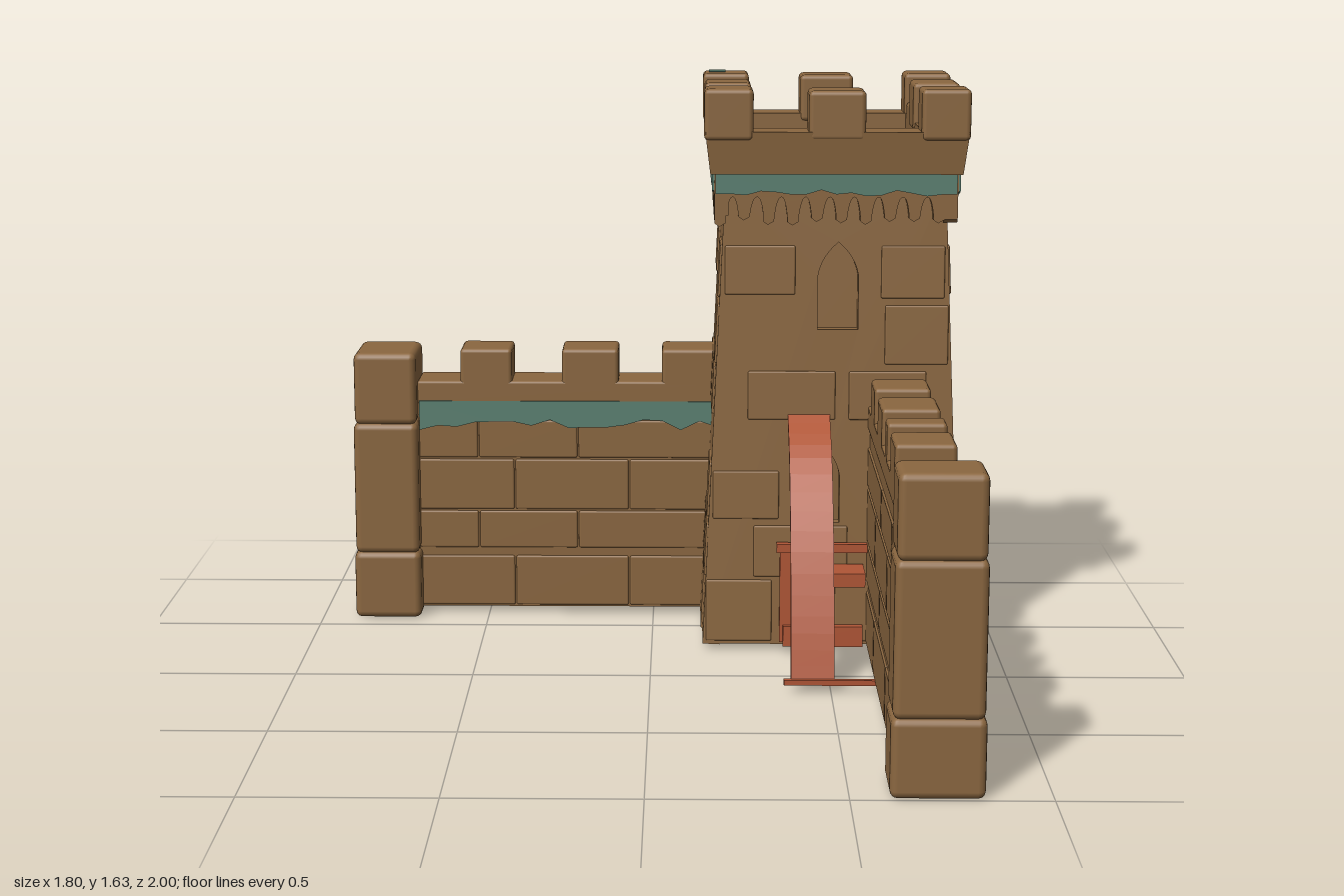
import * as THREE from 'three';
import { RoundedBoxGeometry } from 'three/addons/geometries/RoundedBoxGeometry.js';

const material = (name, color) => {
  const m = new THREE.MeshStandardMaterial({ color });
  m.name = name;
  return m;
};

export function createModel() {
  const stone = material('brown stone', 0x8b6740);
  const moss = material('teal moss', 0x5b8071);
  const cloth = material('red cloth', 0xb05636);

  let seed = 7;
  const rand = () => (seed = (seed * 16807) % 2147483647) / 2147483647;

  const root = new THREE.Group();
  root.name = 'castleCorner';

  const group = (name, parent, x = 0, y = 0, z = 0) => {
    const g = new THREE.Group();
    g.name = name;
    g.position.set(x, y, z);
    parent.add(g);
    return g;
  };
  const add = (parent, name, geo, mat, x = 0, y = 0, z = 0) => {
    const m = new THREE.Mesh(geo, mat);
    m.name = name;
    m.position.set(x, y, z);
    parent.add(m);
    return m;
  };
  // Box given by its limits on each axis, with optional rounded edges
  const block = (parent, name, [x0, x1], [y0, y1], [z0, z1], r = 0, mat = stone) => {
    const s = [x1 - x0, y1 - y0, z1 - z0];
    const geo = r ? new RoundedBoxGeometry(...s, 2, r) : new THREE.BoxGeometry(...s);
    return add(parent, name, geo, mat, (x0 + x1) / 2, (y0 + y1) / 2, (z0 + z1) / 2);
  };
  const extrude = (shape, depth) =>
    new THREE.ExtrudeGeometry(shape, { depth, bevelEnabled: false, curveSegments: 6 });

  // Pointed-arch outline
  const arch = (u, y0, w, h, Type = THREE.Path) => {
    const p = new Type(), s = y0 + h * 0.62;
    p.moveTo(u - w / 2, y0);
    p.lineTo(u + w / 2, y0);
    p.lineTo(u + w / 2, s);
    p.quadraticCurveTo(u + w * 0.42, s + h * 0.22, u, y0 + h);
    p.quadraticCurveTo(u - w * 0.42, s + h * 0.22, u - w / 2, s);
    p.closePath();
    return p;
  };
  // Thin strip of moss with an uneven lower edge
  const mossStrip = (w, h, drip) => {
    const s = new THREE.Shape(), n = 16;
    s.moveTo(-w / 2, h);
    for (let i = 0; i <= n; i++) s.lineTo(-w / 2 + (w * i) / n, -rand() * drip);
    s.lineTo(w / 2, h);
    return extrude(s, 0.006);
  };

  // ---- Tower: four leaning, hollow walls ----
  const tower = group('tower', root, 0.52, 0, -0.62);
  const BASE = 0.372, TOP = 0.312, H = 1.34;
  const half = y => BASE + ((TOP - BASE) * y) / H;

  // Windows: [centre, sill, width, height, depth of closing panel or 0 when open]
  const faces = [
    { name: 'front', a: 0, windows: [[0.01, 0.92, 0.115, 0.25, 0.045], [-0.025, 0.36, 0.09, 0.22, 0]] },
    { name: 'right', a: Math.PI / 2, windows: [[-0.025, 0.93, 0.08, 0.23, 0], [-0.02, 0.4, 0.08, 0.19, 0.02]] },
    { name: 'back', a: Math.PI, windows: [[0, 0.92, 0.1, 0.24, 0], [0.02, 0.36, 0.09, 0.22, 0]] },
    { name: 'left', a: -Math.PI / 2, windows: [[0.025, 0.93, 0.08, 0.23, 0]] },
  ];
  // Raised stones: [centre as a fraction of half width, bottom, width, height]
  const stones = [
    [-0.72, 0.01, 0.19, 0.18], [0.35, 0.01, 0.24, 0.18], [-0.25, 0.2, 0.27, 0.15],
    [0.7, 0.2, 0.2, 0.15], [-0.7, 0.37, 0.19, 0.14], [0.68, 0.37, 0.19, 0.16],
    [-0.35, 0.66, 0.25, 0.14], [0.45, 0.66, 0.22, 0.14], [0.7, 0.82, 0.18, 0.17],
    [-0.65, 1.02, 0.2, 0.14], [0.68, 1.01, 0.18, 0.15],
  ];

  for (const { name, a, windows } of faces) {
    const side = group(name + 'TowerSide', tower);
    side.rotation.y = a;
    const lean = group(name + 'LeaningWall', side, 0, 0.02, BASE);
    lean.rotation.x = -Math.atan((BASE - TOP) / H);
    const s = new THREE.Shape();
    s.moveTo(-BASE, 0);
    s.lineTo(BASE, 0);
    s.lineTo(TOP, H);
    s.lineTo(-TOP, H);
    s.closePath();
    for (const [u, y, w, h, d] of windows) {
      s.holes.push(arch(u, y, w, h));
      if (d) add(lean, 'windowRecess', extrude(arch(u, y, w * 1.05, h * 1.02, THREE.Shape), 0.008), stone, 0, 0, -d - 0.008);
    }
    add(lean, 'towerWall', extrude(s, 0.05), stone, 0, 0, -0.05);
    for (const [f, y, w, h] of stones) {
      const u = Math.max(-half(y + h) + w / 2, Math.min(half(y + h) - w / 2, f * half(y)));
      block(lean, 'raisedStone', [u - w / 2, u + w / 2], [y, y + h], [-0.012, 0.006], 0.005);
    }

    // Hanging teeth under the parapet
    const t = new THREE.Shape(), n = 10, R = 0.343, p = (2 * R) / n;
    t.moveTo(-R, 1.35);
    for (let i = 0; i < n; i++) {
      const x = -R + i * p, y = 1.235 + rand() * 0.02;
      t.lineTo(x, y + 0.01);
      t.lineTo(x + p * 0.2, y);
      t.lineTo(x + p * 0.45, y + 0.01);
      t.quadraticCurveTo(x + p * 0.55, 1.32, x + p * 0.75, 1.32);
      t.quadraticCurveTo(x + p * 0.92, 1.32, x + p, y + 0.02);
    }
    t.lineTo(R, 1.35);
    add(side, 'hangingTeeth', extrude(t, 0.04), stone, 0, 0, R - 0.04);
    add(side, 'towerMoss', mossStrip(0.68, 0.05, 0.02), moss, 0, 1.342, 0.344);

    // Battlements: a middle merlon and one corner per side
    block(side, 'merlon', [-0.08, 0.08], [1.48, 1.62], [0.235, 0.37], 0.014);
    block(side, 'cornerMerlon', [0.235, 0.373], [1.48, 1.625], [0.235, 0.373], 0.014);
  }

  // Parapet ring, flaring outwards, and the roof floor
  const square = (r, Type) => new Type([[-r, -r], [r, -r], [r, r], [-r, r]].map(q => new THREE.Vector2(...q)));
  const ring = square(0.37, THREE.Shape);
  ring.holes.push(square(0.24, THREE.Path));
  const ringGeo = extrude(ring, 0.12).rotateX(-Math.PI / 2);
  const pos = ringGeo.attributes.position;
  for (let i = 0; i < pos.count; i++) {
    if (Math.abs(pos.getX(i)) > 0.3 && pos.getY(i) < 0.01) {
      pos.setX(i, pos.getX(i) * 0.96);
      pos.setZ(i, pos.getZ(i) * 0.96);
    }
  }
  ringGeo.computeVertexNormals();
  add(tower, 'parapet', ringGeo, stone, 0, 1.385, 0);
  block(tower, 'roofFloor', [-0.344, 0.344], [1.33, 1.4], [-0.344, 0.344]);
  block(tower, 'raisedNotchStone', [0.24, 0.365], [1.49, 1.54], [-0.235, -0.09], 0.012);
  for (const [x, z, w, d, y] of [[-0.32, -0.15, 0.07, 0.15, 1.503], [-0.33, -0.32, 0.05, 0.07, 1.623],
    [-0.32, 0.15, 0.08, 0.1, 1.503], [0.31, 0.15, 0.08, 0.1, 1.503]]) {
    block(tower, 'roofMoss', [x - w / 2, x + w / 2], [y, y + 0.005], [z - d / 2, z + d / 2], 0, moss);
  }
  // Red patch on the right side
  const patch = new THREE.Shape([[-0.03, 0], [0.03, 0], [0.025, 0.05], [-0.01, 0.1], [-0.03, 0.04]].map(q => new THREE.Vector2(...q)));
  const patchMesh = add(tower, 'redPatch', extrude(patch, 0.006), cloth, 0.362, 0.39, 0.19 - 0.38);
  patchMesh.rotation.y = Math.PI / 2;

  // ---- Curtain walls, built along local x from the tower outwards ----
  // Each merlon is [start, end] along the wall; mossSides are +1 and/or -1
  const curtain = (name, len, merlons, mossSides) => {
    const g = group(name, root);
    block(g, 'wallBody', [0, len], [0.02, 0.66], [-0.072, 0.072]);
    block(g, 'wallCap', [0, len], [0.65, 0.72], [-0.078, 0.078], 0.008);
    merlons.forEach(m => block(g, 'wallMerlon', m, [0.7, 0.818], [-0.078, 0.078], 0.012));
    // Courses of stones on both faces
    [[0.025, 0.18], [0.205, 0.32], [0.325, 0.48], [0.485, 0.6]].forEach(([y0, y1], row) => {
      const cuts = [0, 0.3 + (row % 2) * 0.17, 0.68 + (row % 2) * 0.12, 1].map(f => f * len);
      for (let i = 0; i < 3; i++) {
        block(g, 'wallStone', [cuts[i] + 0.002, cuts[i + 1] - 0.002], [y0, y1], [-0.077, 0.077], 0.006);
      }
    });
    for (const s of mossSides) {
      const m = add(g, 'wallMoss', mossStrip(len - 0.01, 0.055, 0.035), moss, len / 2, 0.605, s * 0.0765);
      if (s < 0) m.rotation.y = Math.PI;
    }
    return g;
  };
  const west = curtain('sideWall', 0.91, [[0.01, 0.175], [0.305, 0.475], [0.625, 0.78]], [1, -1]);
  west.rotation.y = Math.PI;
  west.position.set(0.2, 0, -0.71);
  const south = curtain('frontWall', 1.12, [[0.1, 0.25], [0.36, 0.53], [0.63, 0.715], [0.81, 0.97]], [1]);
  south.rotation.y = -Math.PI / 2;
  south.position.set(0.698, 0, -0.28);
  // Moss belongs on the outer face of the front wall
  south.getObjectByName('wallMoss').position.z = -0.0765;
  south.getObjectByName('wallMoss').rotation.y = Math.PI;

  // ---- End posts, three stacked stones each ----
  const post = (name, x, z, w, d) => {
    const g = group(name, root, x, 0, z);
    [[0, 0.205, 1], [0.2, 0.6, 0.965], [0.595, 0.813, 0.93]].forEach(([y0, y1, k]) =>
      block(g, 'postStone', [(-w * k) / 2, (w * k) / 2], [y0, y1], [(-d * k) / 2, (d * k) / 2], 0.02));
  };
  post('sidePost', -0.802, -0.69, 0.2, 0.245);
  post('frontPost', 0.715, 0.91, 0.235, 0.18);

  // ---- Red cloth drape and its low frame beside the tower ----
  const drape = group('drape', root);
  const curve = new THREE.CatmullRomCurve3(
    [[-0.28, 0.7], [-0.13, 0.6], [0, 0.42], [0.09, 0.2], [0.14, 0.025]].map(([z, y]) => new THREE.Vector3(z, y, 0)));
  const line = curve.getPoints(16).map(v => new THREE.Vector2(v.x, v.y));
  const outline = new THREE.Shape([...line, ...line.map(v => new THREE.Vector2(v.x - 0.015, v.y - 0.012)).reverse()]);
  const sheet = add(drape, 'clothSheet', extrude(outline, 0.12), cloth, 0.51, 0, 0);
  sheet.rotation.y = -Math.PI / 2;
  block(drape, 'frontBar', [0.37, 0.625], [0.02, 0.035], [0.135, 0.15], 0, cloth);
  block(drape, 'topRail', [0.36, 0.62], [0.3, 0.325], [-0.245, -0.22], 0, cloth);
  block(drape, 'leftPanel', [0.37, 0.42], [0.03, 0.3], [-0.25, -0.235], 0, cloth);
  block(drape, 'middleRail', [0.5, 0.61], [0.22, 0.26], [-0.25, -0.14], 0, cloth);
  block(drape, 'lowerRail', [0.38, 0.61], [0.02, 0.08], [-0.25, -0.22], 0, cloth);
  return root;
}
